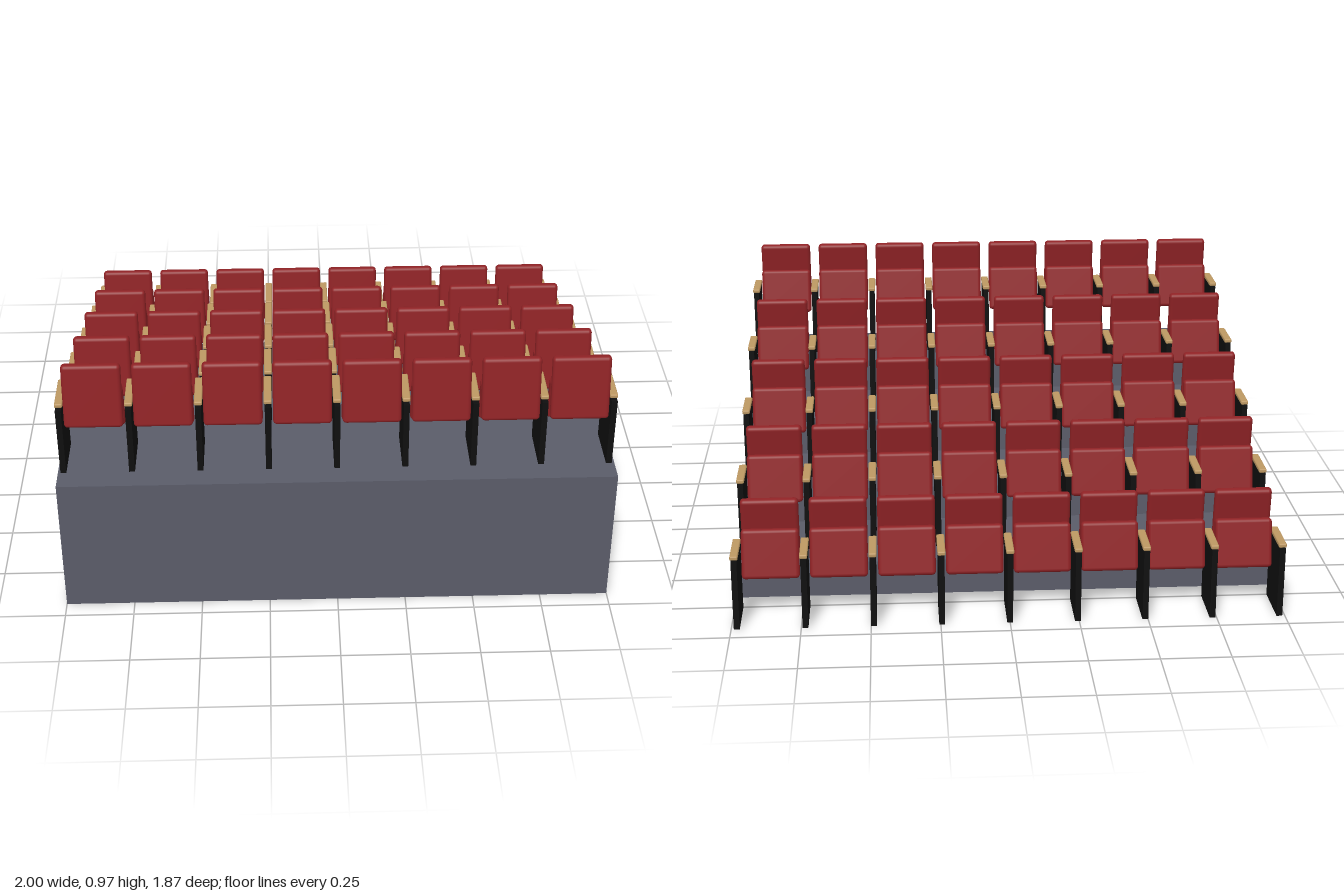
import * as THREE from 'three';
import { RoundedBoxGeometry } from 'three/addons/geometries/RoundedBoxGeometry.js';

const ROWS = 5, SEATS = 8;
const PITCH = 0.245, STEP_DEPTH = 0.4, STEP_HEIGHT = 0.1335;
const BACK_Z = 0.935;

export function createModel() {
  const group = new THREE.Group();
  const mat = (name, color) => {
    const m = new THREE.MeshStandardMaterial({ color });
    m.name = name;
    return m;
  };
  const concrete = mat('slate grey', 0x5a5c69);
  const red = mat('seat red', 0x8f2225);
  const black = mat('panel black', 0x0f0f0f);
  const wood = mat('armrest wood', 0xbd9862);

  const add = (parent, name, geometry, material, x, y, z, tilt = 0) => {
    const mesh = new THREE.Mesh(geometry, material);
    mesh.name = name;
    mesh.position.set(x, y, z);
    mesh.rotation.x = tilt;
    parent.add(mesh);
  };

  // Stepped platform: stair profile drawn in (z, y), extruded across x
  const profile = new THREE.Shape();
  profile.moveTo(BACK_Z, 0);
  for (let i = 0; i < ROWS - 1; i++) {
    const y = STEP_HEIGHT * (ROWS - 1 - i);
    profile.lineTo(BACK_Z - i * STEP_DEPTH, y);
    profile.lineTo(BACK_Z - (i + 1) * STEP_DEPTH, y);
  }
  profile.lineTo(BACK_Z - (ROWS - 1) * STEP_DEPTH, 0);
  const platform = new THREE.ExtrudeGeometry(profile, { depth: 2, bevelEnabled: false });
  platform.translate(0, 0, -1).rotateY(-Math.PI / 2);
  add(group, 'steppedPlatform', platform, concrete, 0, 0, 0);

  // Shared seat parts
  const backrest = new RoundedBoxGeometry(0.208, 0.242, 0.036, 3, 0.014);
  const cushion = new RoundedBoxGeometry(0.208, 0.182, 0.038, 3, 0.014);
  const panel = new THREE.BoxGeometry(0.021, 0.265, 0.185);
  const armrest = new RoundedBoxGeometry(0.029, 0.016, 0.165, 2, 0.005);

  // Rows run from the highest step down to the floor
  for (let r = 0; r < ROWS; r++) {
    const row = new THREE.Group();
    row.name = `seatRow${r + 1}`;
    row.position.set(0, STEP_HEIGHT * (ROWS - 1 - r), -r * STEP_DEPTH);
    group.add(row);

    // Dividing panels with wooden armrests
    for (let i = 0; i <= SEATS; i++) {
      const x = (i - SEATS / 2) * PITCH;
      add(row, 'sidePanel', panel, black, x, 0.1325, 0.7575);
      add(row, 'armrest', armrest, wood, x, 0.274, 0.75);
    }
    // Backrests and folded-up seat cushions
    for (let i = 0; i < SEATS; i++) {
      const x = (i - (SEATS - 1) / 2) * PITCH;
      add(row, 'backrest', backrest, red, x, 0.319, 0.834, -0.13);
      add(row, 'foldedSeat', cushion, red, x, 0.243, 0.779, 0.21);
    }
  }
  return group;
}
